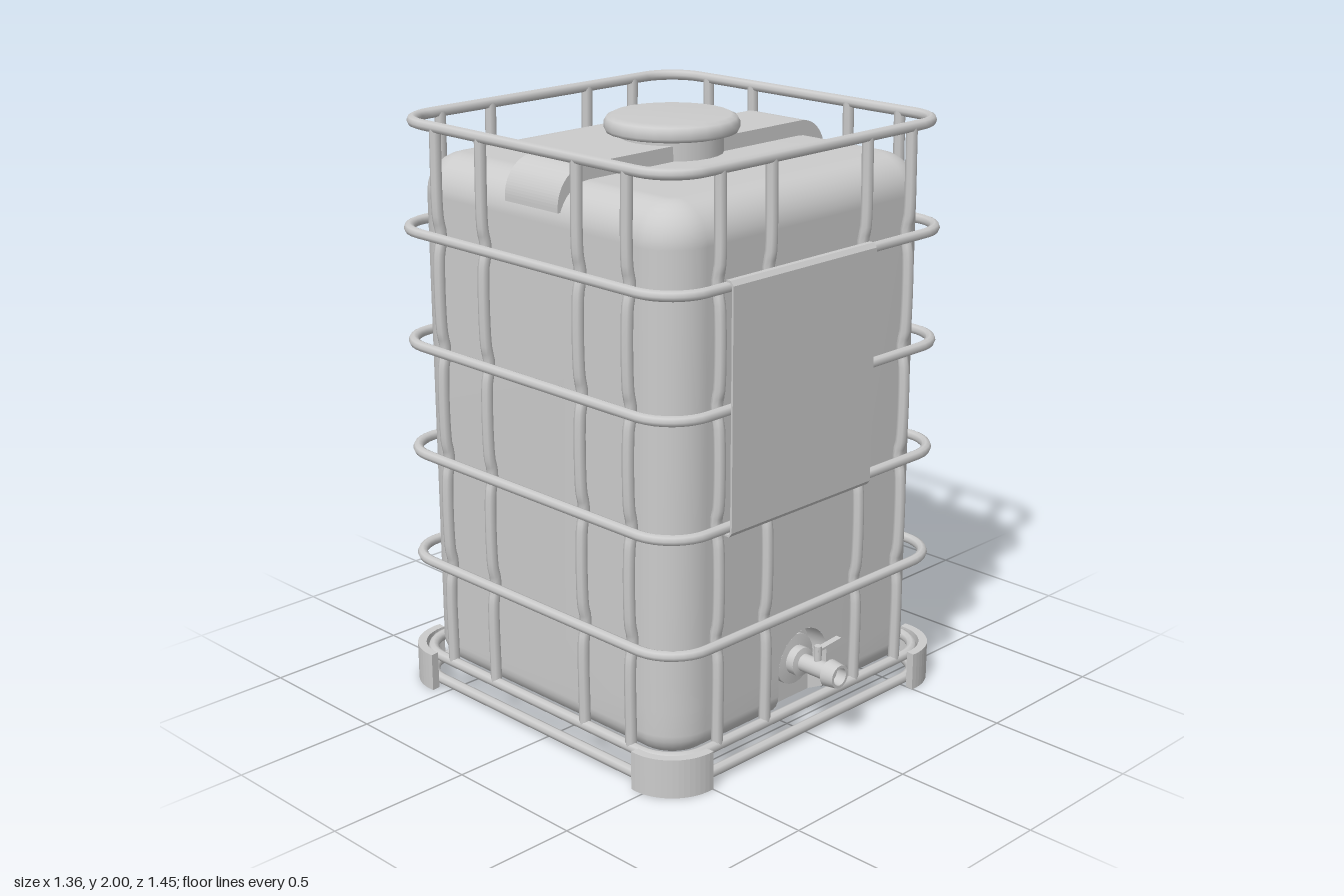
import * as THREE from 'three';

const CZ = -0.045;                 // depth centre of tank and cage
const HALF = 0.61, BOTTOM = 0.085, TOP = 1.875, R_TOP = 0.13, R_BOT = 0.08;
const NOTCH = 0.118, VALVE_Y = 0.25, NOTCH_TOP = 0.375;
const grey = new THREE.MeshStandardMaterial({ color: 0xcccccc });
const greyDouble = new THREE.MeshStandardMaterial({ color: 0xcccccc, side: THREE.DoubleSide });

function add(parent, name, geometry, x = 0, y = 0, z = 0, material = grey) {
  const mesh = new THREE.Mesh(geometry, material);
  mesh.name = name;
  mesh.position.set(x, y, z);
  parent.add(mesh);
  return mesh;
}

// Indexed geometry from flat positions and indices
function build(pos, idx) {
  const g = new THREE.BufferGeometry();
  g.setAttribute('position', new THREE.Float32BufferAttribute(pos, 3));
  g.setIndex(idx);
  g.computeVertexNormals();
  return g;
}

// Rounded-square outline, with two extra points on the front for the valve recess
function outline(half, r) {
  const pts = [], seg = 8;
  for (let k = 0; k < 4; k++) {
    const sx = k === 0 || k === 3 ? 1 : -1, sz = k < 2 ? 1 : -1;
    for (let i = 0; i <= seg; i++) {
      const a = (k + i / seg) * Math.PI / 2;
      pts.push([sx * (half - r) + r * Math.cos(a), sz * (half - r) + r * Math.sin(a)]);
    }
    if (k === 0) pts.push([NOTCH, half], [-NOTCH, half]);
  }
  return pts;
}

// How far the rounded bottom edge draws in at height y
function bottomInset(y) {
  const t = Math.max(0, BOTTOM + R_BOT - y);
  return R_BOT - Math.sqrt(Math.max(0, R_BOT * R_BOT - t * t));
}

// Tank body: stacked outlines, leaving out the front recess
function tankGeometry() {
  const rows = [];
  for (let i = 0; i <= 6; i++) {
    const y = BOTTOM + R_BOT * (1 - Math.cos(i / 6 * Math.PI / 2));
    rows.push([y, bottomInset(y)]);
  }
  rows.push([VALVE_Y, 0], [NOTCH_TOP, 0]);
  const notchRows = rows.length - 1;
  for (let i = 0; i <= 8; i++) {
    const a = i / 8 * Math.PI / 2;
    rows.push([TOP - R_TOP + R_TOP * Math.sin(a), R_TOP * (1 - Math.cos(a))]);
  }
  const pos = [], idx = [], n = outline(1, 0.1).length;
  for (const [y, d] of rows) {
    for (const [x, z] of outline(HALF - d, 0.15 - d)) pos.push(x, y, z);
  }
  for (let j = 0; j < rows.length - 1; j++) {
    for (let i = 0; i < n; i++) {
      if (i === 9 && j < notchRows) continue;
      const a = j * n + i, b = j * n + (i + 1) % n;
      idx.push(a, a + n, b, b, a + n, b + n);
    }
  }
  // flat bottom and top
  const last = (rows.length - 1) * n, c = pos.length / 3;
  pos.push(0, BOTTOM, 0, 0, TOP, 0);
  for (let i = 0; i < n; i++) {
    const k = (i + 1) % n;
    idx.push(c, i, k, c + 1, last + k, last + i);
  }
  return build(pos, idx);
}

// Arch-shaped recess walls running from the front surface inwards
function recessWalls() {
  const path = [];
  for (let i = 0; i <= 5; i++) path.push([NOTCH, BOTTOM + (VALVE_Y - BOTTOM) * i / 5]);
  for (let i = 1; i < 16; i++) {
    const a = i / 16 * Math.PI;
    path.push([NOTCH * Math.cos(a), VALVE_Y + NOTCH * Math.sin(a)]);
  }
  for (let i = 5; i >= 0; i--) path.push([-NOTCH, BOTTOM + (VALVE_Y - BOTTOM) * i / 5]);
  const pos = [], idx = [];
  path.forEach(([x, y], i) => {
    pos.push(x, y, HALF - bottomInset(y), x, y, HALF - R_BOT);
    if (i) idx.push(2 * i - 2, 2 * i - 1, 2 * i, 2 * i, 2 * i - 1, 2 * i + 1);
  });
  return build(pos, idx);
}

// Closed rounded-square tube
function ringGeometry(half, r, tube) {
  const path = new THREE.CurvePath();
  const c = half - r, h = r * 0.5523;
  for (let k = 0; k < 4; k++) {
    const turn = (x, z) => new THREE.Vector3(x, 0, z).applyAxisAngle(new THREE.Vector3(0, 1, 0), k * Math.PI / 2);
    path.add(new THREE.LineCurve3(turn(-c, half), turn(c, half)));
    path.add(new THREE.CubicBezierCurve3(turn(c, half), turn(c + h, half), turn(half, c + h), turn(half, c)));
  }
  return new THREE.TubeGeometry(path, 176, tube, 8, true);
}

export function createModel() {
  const model = new THREE.Group();
  model.name = 'cagedTank';
  const body = new THREE.Group();
  body.name = 'tankAndCage';
  body.position.z = CZ;
  model.add(body);

  // Tank with the arched valve recess
  add(body, 'tank', tankGeometry());
  add(body, 'recessWalls', recessWalls(), 0, 0, 0, greyDouble);
  const arch = new THREE.Shape();
  arch.moveTo(-NOTCH, BOTTOM).lineTo(NOTCH, BOTTOM).lineTo(NOTCH, VALVE_Y);
  arch.absarc(0, VALVE_Y, NOTCH, 0, Math.PI, false);
  add(body, 'recessBack', new THREE.ShapeGeometry(arch, 16), 0, 0, HALF - R_BOT);
  const spandrel = new THREE.Shape();
  spandrel.moveTo(NOTCH, NOTCH_TOP).lineTo(-NOTCH, NOTCH_TOP).lineTo(-NOTCH, VALVE_Y);
  spandrel.absarc(0, VALVE_Y, NOTCH, Math.PI, 0, true);
  add(body, 'recessSurround', new THREE.ShapeGeometry(spandrel, 16), 0, 0, HALF);

  // Raised band across the top
  const w = HALF + 0.002, top = 1.925, r = 0.12;
  const band = new THREE.Shape();
  band.moveTo(-w, 1.79).lineTo(w, 1.79).lineTo(w, top - r);
  band.absarc(w - r, top - r, r, 0, Math.PI / 2, false);
  band.absarc(-w + r, top - r, r, Math.PI / 2, Math.PI, false);
  add(body, 'topBand', new THREE.ExtrudeGeometry(band, { depth: 0.245, bevelEnabled: false, curveSegments: 10 }), 0, 0, -0.122);

  // Filler neck and screw lid
  add(body, 'fillerNeck', new THREE.CylinderGeometry(0.17, 0.17, 0.1, 24), 0, 1.9, 0);
  const lid = [[0, 1.94], [0.2, 1.94], [0.217, 1.945], [0.222, 1.955], [0.222, 1.975], [0.214, 1.99], [0.195, 1.999], [0, 2]];
  add(body, 'lid', new THREE.LatheGeometry(lid.map(p => new THREE.Vector2(...p)), 24));

  // Horizontal cage rails
  const midRails = [0.475, 0.86, 1.24, 1.625];
  for (const y of midRails) add(body, 'cageRail', ringGeometry(0.655, 0.15, 0.0175), 0, y, 0);
  for (const y of [0.028, 0.115, 1.981]) add(body, 'endRail', ringGeometry(0.635, 0.14, 0.0185), 0, y, 0);

  // Upright bars, pressed in where they cross a rail
  const barPts = [new THREE.Vector3(0, 0.115, 0.633)];
  for (const y of midRails) {
    for (const [dy, z] of [[-0.06, 0.633], [-0.02, 0.624], [0.02, 0.624], [0.06, 0.633]]) {
      barPts.push(new THREE.Vector3(0, y + dy, z));
    }
  }
  barPts.push(new THREE.Vector3(0, 1.981, 0.633));
  const bar = new THREE.TubeGeometry(new THREE.CatmullRomCurve3(barPts), 72, 0.019, 8);
  for (let k = 0; k < 4; k++) {
    const side = new THREE.Group();
    side.name = 'cageSide';
    side.rotation.y = k * Math.PI / 2;
    body.add(side);
    for (const x of [-0.432, -0.21, 0.232, 0.448]) add(side, 'uprightBar', bar, x, 0, 0);

    // Curved corner foot
    const foot = new THREE.Shape();
    const a0 = -0.1, a1 = Math.PI / 2 + 0.1;
    foot.absarc(0, 0, 0.168, a0, a1, false);
    foot.absarc(0, 0, 0.138, a1, a0, true);
    const geo = new THREE.ExtrudeGeometry(foot, { depth: 0.133, bevelEnabled: false, curveSegments: 8 });
    geo.rotateX(-Math.PI / 2);
    add(side, 'cornerFoot', geo, 0.514, 0, -0.514);
  }

  // Thin sign plate with its top and bottom edges folded back
  const plate = new THREE.Shape();
  const [y0, y1, zo, zi, t] = [0.835, 1.648, 0.685, 0.655, 0.007];
  plate.moveTo(zi, y0).lineTo(zo - 0.012, y0).lineTo(zo, y0 + 0.015).lineTo(zo, y1 - 0.015);
  plate.lineTo(zo - 0.012, y1).lineTo(zi, y1).lineTo(zi, y1 - t).lineTo(zo - 0.015, y1 - t);
  plate.lineTo(zo - t, y1 - 0.018).lineTo(zo - t, y0 + 0.018).lineTo(zo - 0.015, y0 + t).lineTo(zi, y0 + t);
  const plateGeo = new THREE.ExtrudeGeometry(plate, { depth: 0.655, bevelEnabled: false });
  plateGeo.rotateY(-Math.PI / 2);
  add(body, 'signPlate', plateGeo, 0.228, 0, 0);

  // Outlet valve: flange, pipe and flared nozzle
  const valve = new THREE.Group();
  valve.name = 'outletValve';
  valve.position.set(0, VALVE_Y, 0);
  model.add(valve);
  const profile = [[0, 0.47], [0.088, 0.47], [0.088, 0.53], [0.05, 0.535], [0.05, 0.565], [0.03, 0.57], [0.03, 0.675],
    [0.046, 0.68], [0.04, 0.727], [0.03, 0.727], [0.028, 0.69], [0, 0.69]];
  // separate bands keep each edge crisp
  for (let i = 0; i < profile.length - 1; i++) {
    const g = new THREE.LatheGeometry([profile[i], profile[i + 1]].map(p => new THREE.Vector2(...p)), 20);
    g.rotateX(Math.PI / 2);
    add(valve, 'valveBody', g, 0, 0, 0, greyDouble);
  }
  add(valve, 'handleStem', new THREE.CylinderGeometry(0.013, 0.013, 0.06, 12), 0, 0.05, 0.63);
  const lever = add(valve, 'handleLever', new THREE.BoxGeometry(0.115, 0.008, 0.022), 0.047, 0.07, 0.63);
  lever.rotation.z = 0.08;
  return model;
}
